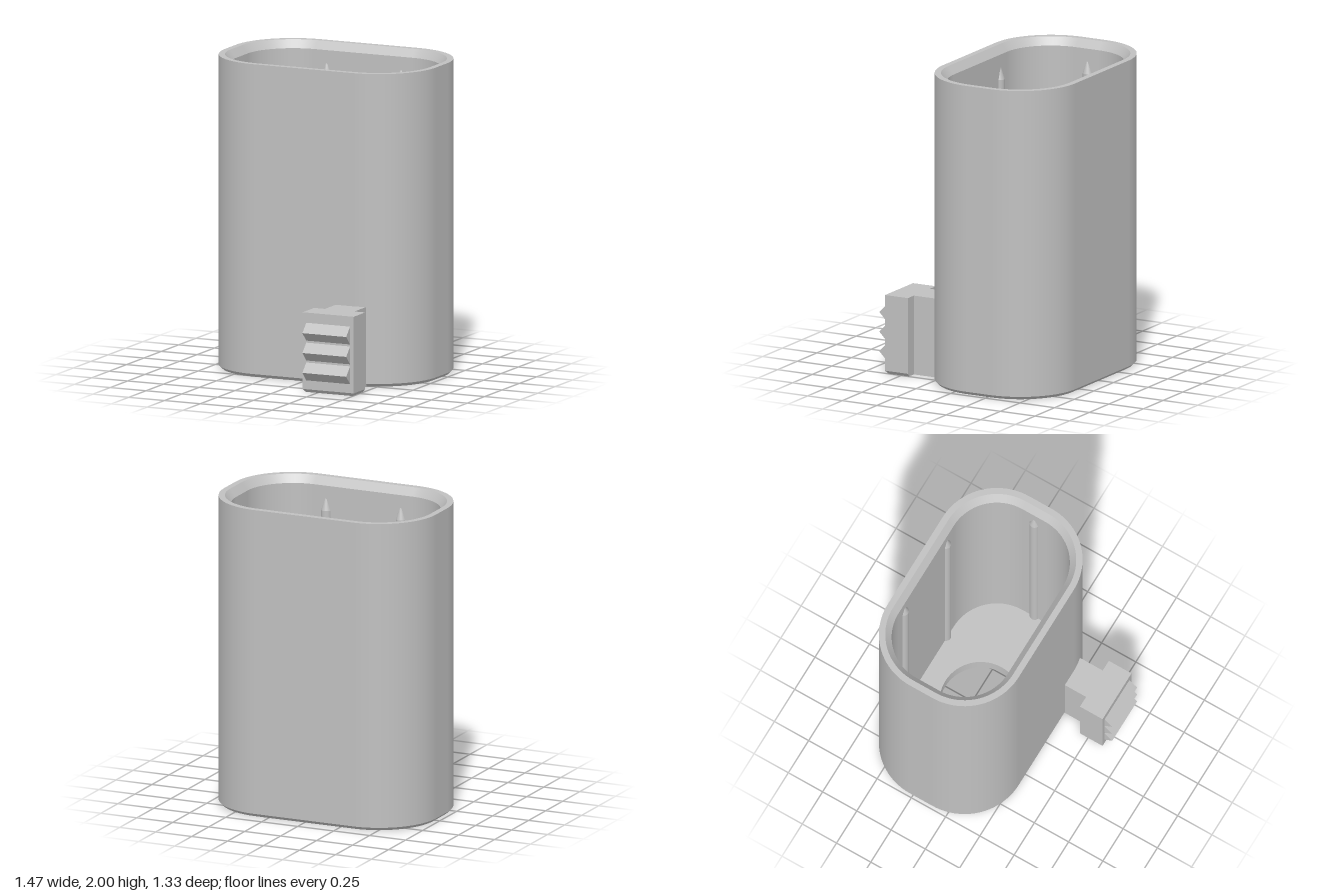
import * as THREE from 'three';
import { toCreasedNormals } from 'three/addons/utils/BufferGeometryUtils.js';

const CZ = -0.188;            // centre of the cup in z
const HX = 0.34, HZ = 0.083;  // half lengths of the straight sides
const R = 0.395;              // outer corner radius
const FLOOR = 0.1;            // floor thickness

// Rounded-rectangle ring: point and outward direction for each corner step
function ring(inset, steps = 20) {
  const pts = [];
  const signs = [[1, 1], [-1, 1], [-1, -1], [1, -1]];
  signs.forEach(([sx, sz], q) => {
    for (let i = 0; i <= steps; i++) {
      const a = (q + i / steps) * Math.PI / 2;
      const c = Math.cos(a), s = Math.sin(a);
      pts.push({ x: sx * HX + (R - inset) * c, z: sz * HZ + (R - inset) * s, c, s });
    }
  });
  return pts;
}

// Wall skin swept round the ring through a profile of [inset, height]
function sweepWall(profile) {
  const pos = [], nor = [], idx = [];
  for (let k = 0; k < profile.length - 1; k++) {
    const [i0, y0] = profile[k], [i1, y1] = profile[k + 1];
    const len = Math.hypot(i1 - i0, y1 - y0);
    const nr = (y1 - y0) / len, ny = (i1 - i0) / len;
    const low = ring(i0), high = ring(i1), n = low.length, base = pos.length / 3;
    for (let j = 0; j < n; j++) {
      pos.push(low[j].x, y0, low[j].z, high[j].x, y1, high[j].z);
      for (let m = 0; m < 2; m++) nor.push(low[j].c * nr, ny, low[j].s * nr);
      const a = base + 2 * j, b = base + 2 * ((j + 1) % n);
      idx.push(a, a + 1, b, b, a + 1, b + 1);
    }
  }
  const g = new THREE.BufferGeometry();
  g.setAttribute('position', new THREE.Float32BufferAttribute(pos, 3));
  g.setAttribute('normal', new THREE.Float32BufferAttribute(nor, 3));
  g.setIndex(idx);
  return g;
}

export function createModel() {
  const model = new THREE.Group();
  const grey = new THREE.MeshStandardMaterial({ color: 0xc0c0c0 });
  grey.name = 'grey plastic';

  function add(name, geometry, x = 0, y = 0, z = 0, parent = model) {
    const mesh = new THREE.Mesh(geometry, grey);
    mesh.name = name;
    mesh.position.set(x, y, z);
    parent.add(mesh);
    return mesh;
  }

  // Cup wall: chamfered foot, outer side, rim, inner chamfer, inner side
  add('cupWall', sweepWall([
    [0.02, 0], [0, 0.02], [0, 2], [0.04, 2], [0.08, 1.95], [0.08, FLOOR],
  ]), 0, 0, CZ);

  // Floor with a round hole
  const outline = new THREE.Shape(ring(0.02).map(p => new THREE.Vector2(p.x, p.z)));
  const hole = new THREE.Path();
  hole.absarc(0, 0, 0.258, 0, Math.PI * 2, true);
  outline.holes.push(hole);
  const floor = new THREE.ExtrudeGeometry(outline, { depth: FLOOR, bevelEnabled: false, curveSegments: 64 });
  floor.rotateX(-Math.PI / 2);
  add('floor', toCreasedNormals(floor, 0.5), 0, 0, CZ);

  // Pointed ribs on the inside of the wall
  const ribs = new THREE.Group();
  ribs.name = 'ribs';
  model.add(ribs);
  const shoulder = 1.79, tip = 1.9, ribR = 0.033;
  const post = new THREE.CylinderGeometry(ribR, ribR, shoulder - FLOOR, 20, 1, true);
  const point = new THREE.ConeGeometry(ribR, tip - shoulder, 20, 1, true);
  const wx = HX + R - 0.07, wz = HZ + R - 0.07;
  for (const [x, z] of [[-0.26, -wz], [0.26, -wz], [-0.26, wz], [0.26, wz], [-wx, 0], [wx, 0]]) {
    add('ribPost', post, x, (shoulder + FLOOR) / 2, CZ + z, ribs);
    add('ribPoint', point, x, (shoulder + tip) / 2, CZ + z, ribs);
  }

  // Clip: stem, grip plate with a chamfered foot, and three ridges
  const clip = new THREE.Group();
  clip.name = 'clip';
  clip.position.x = 0.3325;
  model.add(clip);
  add('clipStem', new THREE.BoxGeometry(0.205, 0.51, 0.175), 0, 0.255, 0.3575, clip);
  add('clipPlate', new THREE.BoxGeometry(0.356, 0.49, 0.165), 0, 0.265, 0.5275, clip);

  const foot = new THREE.BoxGeometry(0.356, 0.02, 0.165).toNonIndexed();
  const p = foot.attributes.position;
  for (let i = 0; i < p.count; i++) {
    if (p.getY(i) > 0) continue;
    p.setX(i, p.getX(i) - Math.sign(p.getX(i)) * 0.015);
    if (p.getZ(i) > 0) p.setZ(i, p.getZ(i) - 0.015);
  }
  foot.computeVertexNormals();
  add('clipFoot', foot, 0, 0.01, 0.5275, clip);

  // Triangular ridges, extruded along x
  const tooth = new THREE.Shape([
    new THREE.Vector2(0, -0.058), new THREE.Vector2(0, 0.058), new THREE.Vector2(-0.057, 0),
  ]);
  const ridge = new THREE.ExtrudeGeometry(tooth, { depth: 0.306, bevelEnabled: false });
  ridge.translate(0, 0, -0.153);
  ridge.rotateY(Math.PI / 2);
  for (let i = 0; i < 3; i++) add('clipRidge', ridge, 0, 0.134 + i * 0.127, 0.609, clip);

  return model;
}
